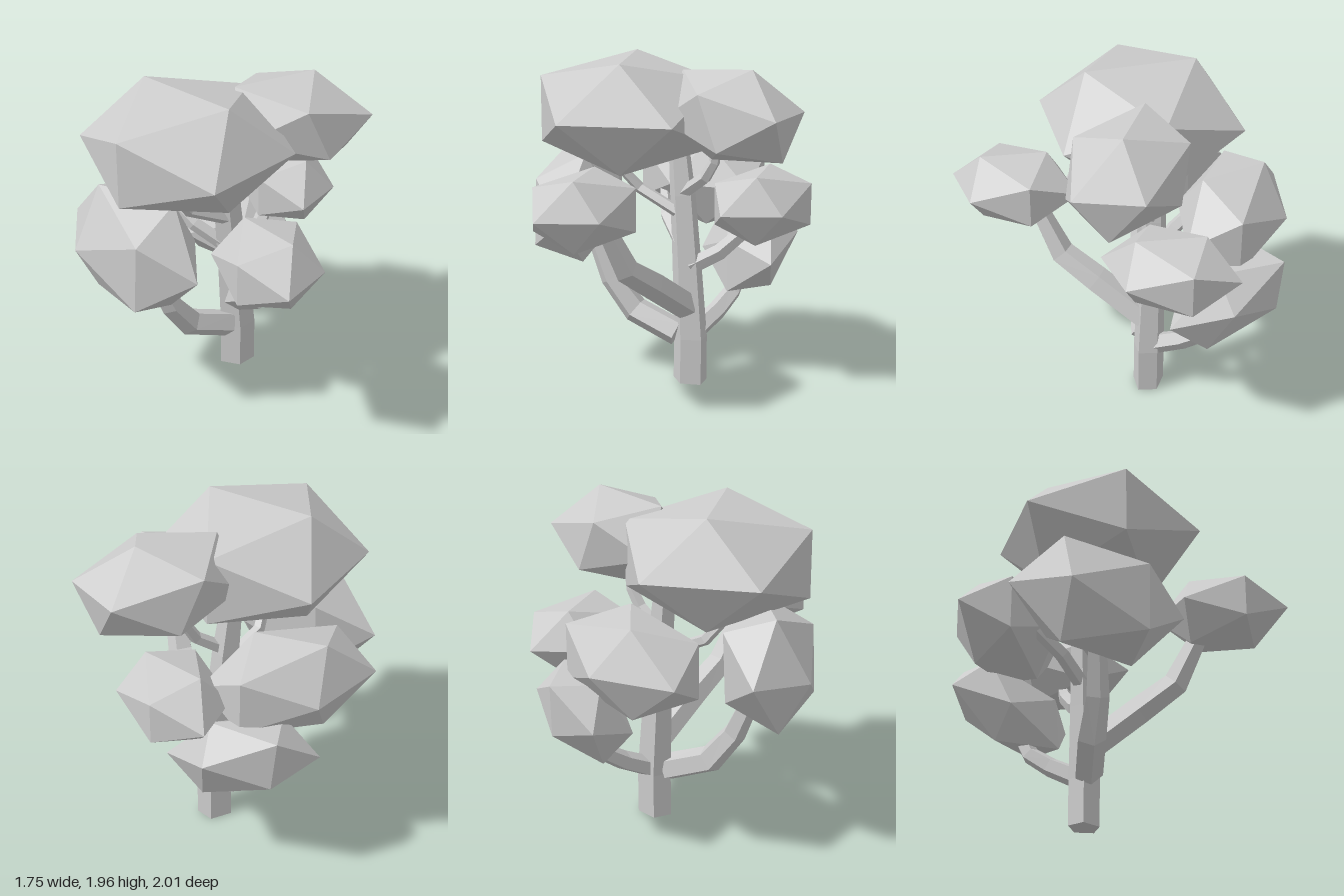
import * as THREE from 'three';

const material = new THREE.MeshStandardMaterial({ color: 0xcccccc, flatShading: true, roughness: 0.9 });
const SIDES = 5;

// Tapered five-sided limb through a list of [x, y, z, radius] stations
function limb(name, stations) {
  const pts = stations.map(s => new THREE.Vector3(s[0], s[1], s[2]));
  const last = pts.length - 1;
  const pos = [], index = [];
  const n = new THREE.Vector3(0, 0, 1);
  pts.forEach((p, j) => {
    const t = new THREE.Vector3();
    if (j > 0) t.add(p.clone().sub(pts[j - 1]).normalize());
    if (j < last) t.add(pts[j + 1].clone().sub(p).normalize());
    t.normalize();
    n.addScaledVector(t, -n.dot(t)).normalize();
    const b = t.clone().cross(n);
    for (let i = 0; i < SIDES; i++) {
      const a = (i / SIDES) * Math.PI * 2;
      const v = p.clone()
        .addScaledVector(n, Math.cos(a) * stations[j][3])
        .addScaledVector(b, Math.sin(a) * stations[j][3]);
      pos.push(v.x, v.y, v.z);
    }
  });
  for (let j = 0; j < last; j++) {
    for (let i = 0; i < SIDES; i++) {
      const k = (i + 1) % SIDES;
      const a = j * SIDES + i, b = j * SIDES + k, c = a + SIDES, d = b + SIDES;
      index.push(a, b, c, b, d, c);
    }
  }
  // end caps
  const e = last * SIDES;
  for (let i = 1; i < SIDES - 1; i++) index.push(0, i + 1, i, e, e + i, e + i + 1);

  const indexed = new THREE.BufferGeometry();
  indexed.setAttribute('position', new THREE.Float32BufferAttribute(pos, 3));
  indexed.setIndex(index);
  const geometry = indexed.toNonIndexed();
  geometry.computeVertexNormals();
  const mesh = new THREE.Mesh(geometry, material);
  mesh.name = name;
  return mesh;
}

// Leaf clump: an icosahedron whose three axes become the given vectors
function clump(name, centre, axes) {
  const geometry = new THREE.IcosahedronGeometry(1, 0);
  geometry.applyMatrix4(new THREE.Matrix4().makeBasis(...axes.map(a => new THREE.Vector3(...a))));
  geometry.computeVertexNormals();
  const mesh = new THREE.Mesh(geometry, material);
  mesh.name = name;
  mesh.position.set(...centre);
  return mesh;
}

// Axes of an upright clump, turned about y and then stretched
function turned(sx, sy, sz) {
  const c = Math.cos(0.99), s = Math.sin(0.99);
  return [[sx * c, 0, sz * s], [0, sy, 0], [-sx * s, 0, sz * c]];
}

export function createModel() {
  const tree = new THREE.Group();
  tree.name = 'tree';

  // Trunk, slightly flattened front to back
  const trunk = limb('trunk', [
    [0.128, 0, 0, 0.113], [0.128, 0.28, 0, 0.113], [0.097, 0.72, 0, 0.098],
    [0.06, 1.15, 0, 0.085], [0.02, 1.5, 0, 0.065],
  ]);
  trunk.scale.z = 0.82;
  trunk.position.z = -0.233;
  tree.add(trunk);

  // Branches
  const branches = {
    rightLowBranch: [[0.06, 0.3, -0.19, 0.085], [-0.2, 0.41, -0.1, 0.085], [-0.33, 0.6, -0.03, 0.07], [-0.45, 0.88, 0.0, 0.055]],
    frontBranch: [[0.12, 0.48, -0.2, 0.085], [0.12, 0.68, 0.1, 0.085], [0.11, 0.82, 0.32, 0.078], [0.09, 1.1, 0.47, 0.055]],
    backLowBranch: [[0.13, 0.29, -0.24, 0.065], [0.16, 0.4, -0.45, 0.06], [0.17, 0.49, -0.58, 0.055], [0.19, 0.68, -0.68, 0.045]],
    leftBranch: [[0.13, 0.72, -0.22, 0.052], [0.26, 0.81, -0.34, 0.05], [0.34, 0.91, -0.42, 0.046], [0.4, 1.06, -0.47, 0.038]],
    leftHighBranch: [[0.07, 1.16, -0.22, 0.042], [0.24, 1.28, -0.22, 0.038], [0.3, 1.38, -0.23, 0.034], [0.32, 1.5, -0.23, 0.03], [0.42, 1.6, -0.22, 0.028]],
    backHighBranch: [[0.07, 0.84, -0.22, 0.048], [-0.12, 0.98, -0.3, 0.045], [-0.24, 1.1, -0.42, 0.04], [-0.27, 1.22, -0.55, 0.035]],
    crownBranch: [[0.05, 1.05, -0.2, 0.038], [-0.19, 1.17, -0.13, 0.036], [-0.26, 1.28, -0.06, 0.032], [-0.29, 1.42, -0.05, 0.028]],
  };
  for (const [name, stations] of Object.entries(branches)) tree.add(limb(name, stations));

  // Leaf clumps
  tree.add(
    clump('crownLeaves', [-0.213, 1.64, -0.06], turned(0.62, 0.374, 0.61)),
    clump('frontLeaves', [0.08, 1.22, 0.61], turned(0.302, 0.235, 0.39)),
    clump('leftLeaves', [0.48, 1.12, -0.46], turned(0.296, 0.235, 0.4)),
    clump('backHighLeaves', [-0.13, 1.17, -0.64], turned(0.515, 0.305, 0.318)),
    clump('leftHighLeaves', [0.447, 1.675, -0.2], [[0.455, 0.04, -0.03], [-0.13, 0.29, 0], [0.08, 0, 0.355]]),
    clump('rightLeaves', [-0.54, 1.08, 0.03], [[0.355, -0.016, 0.28], [0.019, 0.39, 0], [-0.07, -0.05, 0.365]]),
    clump('backLowLeaves', [0.185, 0.8, -0.72], [[0.375, 0.02, 0.08], [-0.02, 0.295, -0.02], [0.06, -0.12, 0.33]]),
  );
  return tree;
}
